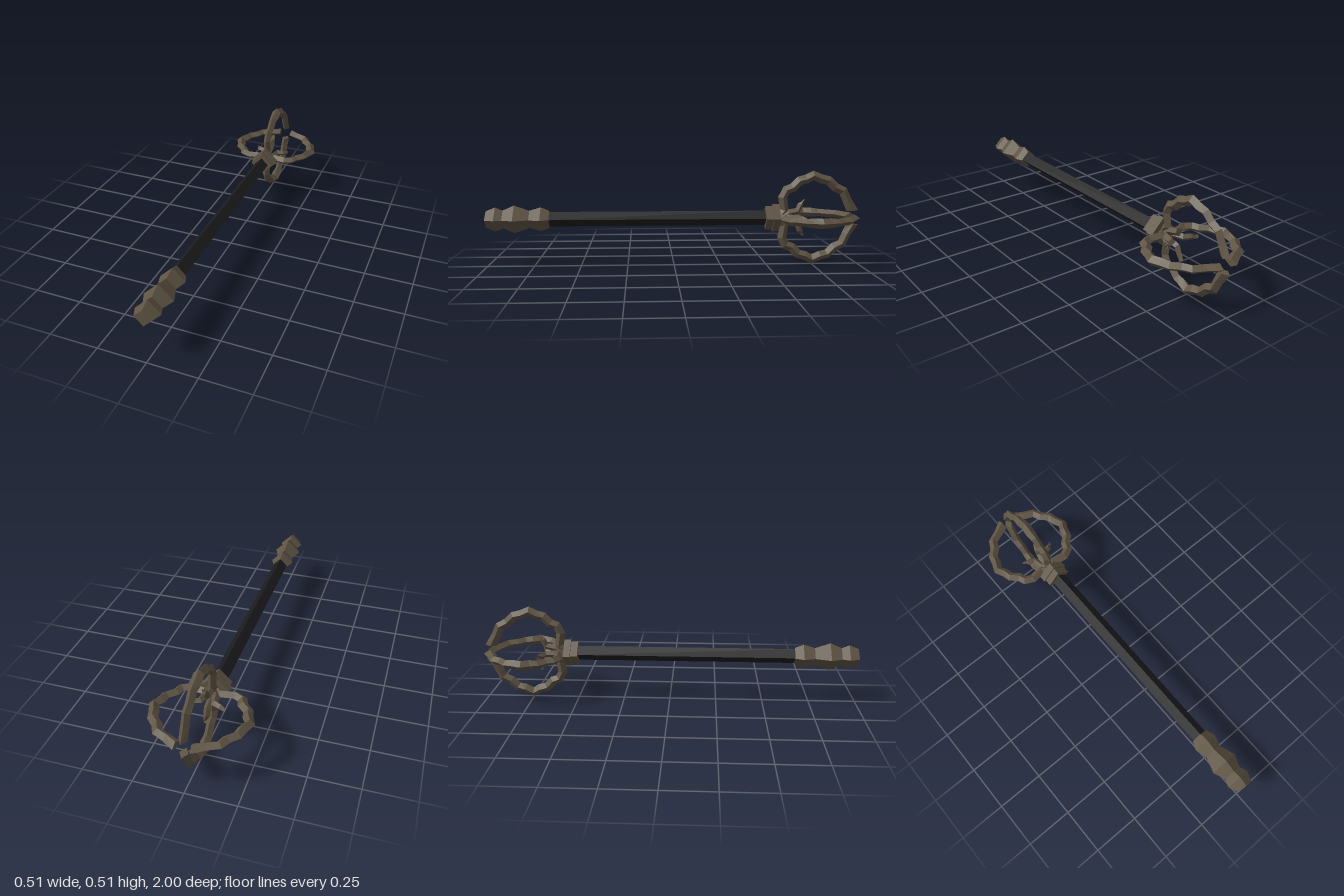
import * as THREE from 'three';

const AXIS_Y = 0.254;

// Sweeps a diamond cross-section along [z, r, halfWidth, halfDepth] stations in the yz plane.
function diamondSweep(stations) {
  const rings = stations.map(([z, r, w, d], i) => {
    const a = stations[Math.max(i - 1, 0)];
    const b = stations[Math.min(i + 1, stations.length - 1)];
    const len = Math.hypot(b[0] - a[0], b[1] - a[1]);
    let nz = (b[1] - a[1]) / len;
    let ny = -(b[0] - a[0]) / len;
    if (i === stations.length - 1) { nz = -1; ny = 0.1; } // slanted end cut
    return [
      [0, r + ny * d, z + nz * d], [w, r, z],
      [0, r - ny * d, z - nz * d], [-w, r, z],
    ];
  });
  const pos = [];
  const quad = (a, b, c, d) => pos.push(...a, ...b, ...c, ...a, ...c, ...d);
  for (let i = 0; i < rings.length - 1; i++) {
    for (let k = 0; k < 4; k++) {
      const n = (k + 1) % 4;
      quad(rings[i][k], rings[i][n], rings[i + 1][n], rings[i + 1][k]);
    }
  }
  const s = rings[0];
  quad(s[0], s[3], s[2], s[1]);
  quad(...rings[rings.length - 1]);
  const geo = new THREE.BufferGeometry();
  geo.setAttribute('position', new THREE.Float32BufferAttribute(pos, 3));
  geo.computeVertexNormals();
  return geo;
}

// Four-sided turned shape along z from [radius, z] points.
function diamondLathe(points) {
  const geo = new THREE.LatheGeometry(points.map(([r, z]) => new THREE.Vector2(r, z)), 4);
  return geo.rotateX(Math.PI / 2);
}

export function createModel() {
  const bronze = new THREE.MeshStandardMaterial({ color: 0x5f5444, flatShading: true });
  bronze.name = 'dark bronze';
  const black = new THREE.MeshStandardMaterial({ color: 0x1c1c1e, flatShading: true });
  black.name = 'black grip';

  const model = new THREE.Group();
  model.name = 'mace';
  const add = (name, geo, mat) => {
    const mesh = new THREE.Mesh(geo, mat);
    mesh.name = name;
    mesh.position.y = AXIS_Y;
    model.add(mesh);
    return mesh;
  };

  // Shaft
  add('shaft', diamondLathe([[0, -0.5], [0.039, -0.5], [0.039, 0.68], [0, 0.68]]), black);

  // Wavy pommel
  add('pommel', diamondLathe([
    [0, 0.665], [0.046, 0.665], [0.064, 0.71], [0.046, 0.77], [0.074, 0.85],
    [0.048, 0.91], [0.064, 0.95], [0.044, 1], [0, 1],
  ]), bronze);

  // Stepped collar
  add('collar', diamondLathe([
    [0, -0.567], [0.074, -0.567], [0.074, -0.53], [0.064, -0.53], [0.064, -0.492], [0, -0.492],
  ]), bronze);

  // Four wavy outer prongs forming the open cage, and four small hooks inside
  const prong = diamondSweep([
    [-0.56, 0], [-0.596, 0.04], [-0.585, 0.11], [-0.605, 0.15], [-0.64, 0.163],
    [-0.675, 0.2], [-0.713, 0.209], [-0.75, 0.229], [-0.795, 0.209], [-0.835, 0.2],
    [-0.872, 0.163], [-0.914, 0.143], [-0.938, 0.09], [-0.968, 0.036],
  ].map(([z, r]) => [z, r, r > 0.205 ? 0.026 : 0.021, r < 0.037 && z < -0.9 ? 0.032 : 0.025]));
  const hook = diamondSweep([
    [-0.56, 0, 0.02, 0.02], [-0.62, 0.026, 0.02, 0.02], [-0.668, 0.036, 0.018, 0.018],
    [-0.682, 0.07, 0.016, 0.016], [-0.698, 0.096, 0.012, 0.01],
  ]);
  for (let i = 0; i < 4; i++) {
    add('cageProng', prong, bronze).rotation.z = i * Math.PI / 2;
    add('innerHook', hook, bronze).rotation.z = i * Math.PI / 2;
  }
  return model;
}
